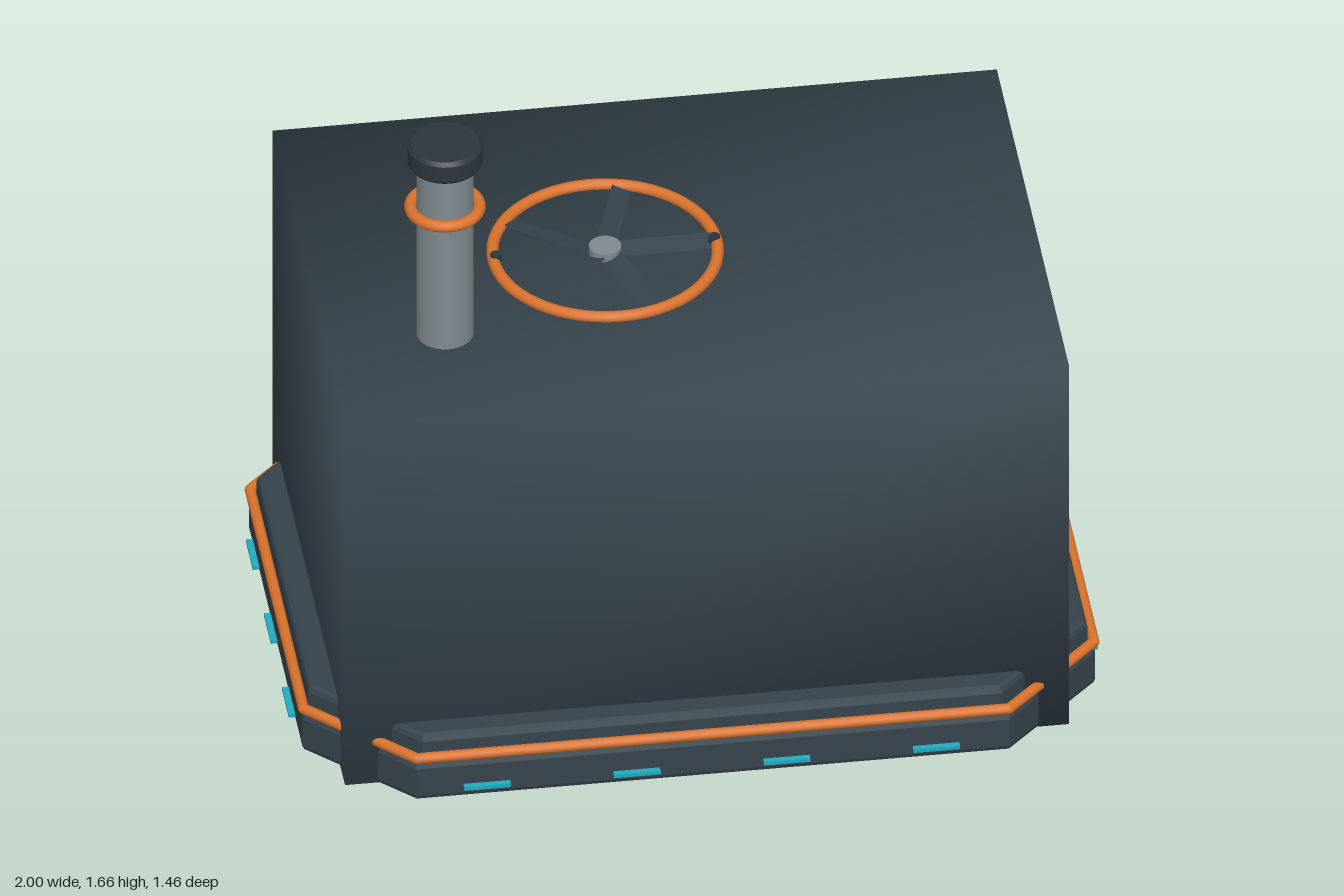
import * as THREE from 'three';
import { mergeVertices } from 'three/addons/utils/BufferGeometryUtils.js';

const paint = (name, color) => {
  const m = new THREE.MeshStandardMaterial({ color });
  m.name = name;
  return m;
};

export function createModel() {
  const charcoal = paint('charcoal', 0x36434c);
  const dark = paint('dark steel', 0x2c363d);
  const orange = paint('orange', 0xd8722c);
  const grey = paint('grey metal', 0x7f898e);
  const cyan = paint('cyan light', 0x22aabf);

  const model = new THREE.Group();
  const add = (name, geo, mat, x = 0, y = 0, z = 0, parent = model) => {
    const mesh = new THREE.Mesh(geo, mat);
    mesh.name = name;
    mesh.position.set(x, y, z);
    parent.add(mesh);
    return mesh;
  };
  const group = (name, x = 0, y = 0, z = 0) => {
    const g = new THREE.Group();
    g.name = name;
    g.position.set(x, y, z);
    model.add(g);
    return g;
  };

  // Rectangle with cut corners, as [x, z] points
  const octagon = (hx, hz, c) => [
    [hx - c, -hz], [hx, c - hz], [hx, hz - c], [hx - c, hz],
    [c - hx, hz], [-hx, hz - c], [-hx, c - hz], [c - hx, -hz],
  ];

  // Bevelled slab standing on its underside
  const slab = (hx, hz, c, height, bevel) => {
    const points = octagon(hx - bevel, hz - bevel, c - bevel * 0.5);
    const shape = new THREE.Shape(points.map(([x, z]) => new THREE.Vector2(x, z)));
    return new THREE.ExtrudeGeometry(shape, {
      depth: height - 2 * bevel, bevelThickness: bevel, bevelSize: bevel, bevelSegments: 2,
    }).rotateX(-Math.PI / 2).translate(0, bevel, 0);
  };

  // Body: box with soft shading across its corners
  const box = new THREE.BoxGeometry(1.79, 1.083, 1.246);
  box.deleteAttribute('normal');
  box.deleteAttribute('uv');
  const soft = mergeVertices(box);
  soft.computeVertexNormals();
  add('body', soft, charcoal, -0.003, 0.5475, 0.002);

  // Stepped base
  add('base', slab(0.98, 0.708, 0.245, 0.112, 0.016), charcoal);
  add('upperBase', slab(0.963, 0.69, 0.245, 0.08, 0.016), charcoal, 0, 0.1, 0);

  // Bumper rail around the base
  const rail = group('bumperRail', 0, 0.127, 0);
  const corners = octagon(0.977, 0.705, 0.245);
  corners.forEach(([x, z], i) => {
    const [nx, nz] = corners[(i + 1) % 8];
    const dir = new THREE.Vector3(nx - x, 0, nz - z);
    const bar = add('railBar', new THREE.CylinderGeometry(0.0135, 0.0135, dir.length(), 12), orange,
      (x + nx) / 2, 0, (z + nz) / 2, rail);
    bar.quaternion.setFromUnitVectors(new THREE.Vector3(0, 1, 0), dir.normalize());
    add('railJoint', new THREE.SphereGeometry(0.0135, 12, 8), orange, x, 0, z, rail);
  });

  // Marker lights
  const lights = group('markerLights', 0, 0.04, 0);
  for (const s of [-1, 1]) {
    for (const x of [-0.56, -0.19, 0.18, 0.55])
      add('light', new THREE.BoxGeometry(0.115, 0.01, 0.016), cyan, x, 0, s * 0.722, lights);
    for (const z of [-0.31, 0, 0.31])
      add('light', new THREE.BoxGeometry(0.016, 0.01, 0.115), cyan, s * 0.992, 0, z, lights);
  }

  // Chimney
  const chimney = group('chimney', -0.6, 0, 0.27);
  add('pipe', new THREE.CylinderGeometry(0.07, 0.07, 0.53, 32), grey, 0, 1.345, 0, chimney);
  const capProfile = [[0, 1.602], [0.086, 1.602], [0.092, 1.61], [0.092, 1.655], [0.084, 1.665], [0, 1.665]];
  for (let i = 0; i < 5; i++) // separate bands keep the rim sharp
    add('cap', new THREE.LatheGeometry(
      [capProfile[i], capProfile[i + 1]].map(p => new THREE.Vector2(...p)), 32), dark, 0, 0, 0, chimney);
  add('collar', new THREE.TorusGeometry(0.085, 0.015, 12, 40).rotateX(Math.PI / 2), orange, 0, 1.472, 0, chimney);

  // Roof fan
  const fan = group('roofFan', -0.165, 1.095, -0.003);
  add('rim', new THREE.TorusGeometry(0.276, 0.015, 12, 56).rotateX(Math.PI / 2), orange, 0, 0, 0, fan);
  add('hub', new THREE.CylinderGeometry(0.04, 0.04, 0.024, 20), grey, 0, 0.005, 0, fan);
  for (let i = 0; i < 5; i++) {
    const arm = new THREE.Group();
    arm.name = 'blade';
    arm.rotation.y = i * Math.PI * 0.4;
    fan.add(arm);
    add('bladePlate', new THREE.BoxGeometry(0.235, 0.006, 0.06).rotateX(0.3), charcoal, 0.148, -0.003, 0, arm);
  }
  for (const s of [-1, 1])
    add('bolt', new THREE.CylinderGeometry(0.014, 0.014, 0.02, 12), dark, s * 0.27, 0.009, 0, fan);

  // Side tank, sunk into the wall
  const tank = group('sideTank', 0.695, 0.52, -0.102);
  const end = [[0, 0.43], [0.15, 0.423], [0.2, 0.407], [0.217, 0.395], [0.227, 0.378], [0.23, 0.36]];
  const outline = [...end.map(([r, h]) => [r, -h]), ...end.slice().reverse()];
  add('tankShell', new THREE.LatheGeometry(outline.map(p => new THREE.Vector2(...p)), 64).rotateX(Math.PI / 2),
    orange, 0, 0, 0, tank);
  for (const z of [0.294, -0.306])
    add('strap', new THREE.CylinderGeometry(0.24, 0.24, 0.034, 64).rotateX(Math.PI / 2), dark, 0, 0, z, tank);

  // Rear vent
  const vent = group('rearVent', -0.168, 0.547, 0);
  add('ventPlate', new THREE.BoxGeometry(0.866, 0.635, 0.03), charcoal, 0, 0, -0.622, vent);
  for (let i = 0; i < 10; i++)
    add('slat', new THREE.BoxGeometry(0.018, 0.54, 0.034), grey, (i - 4.5) * 0.084, 0, -0.648, vent);

  return model;
}
